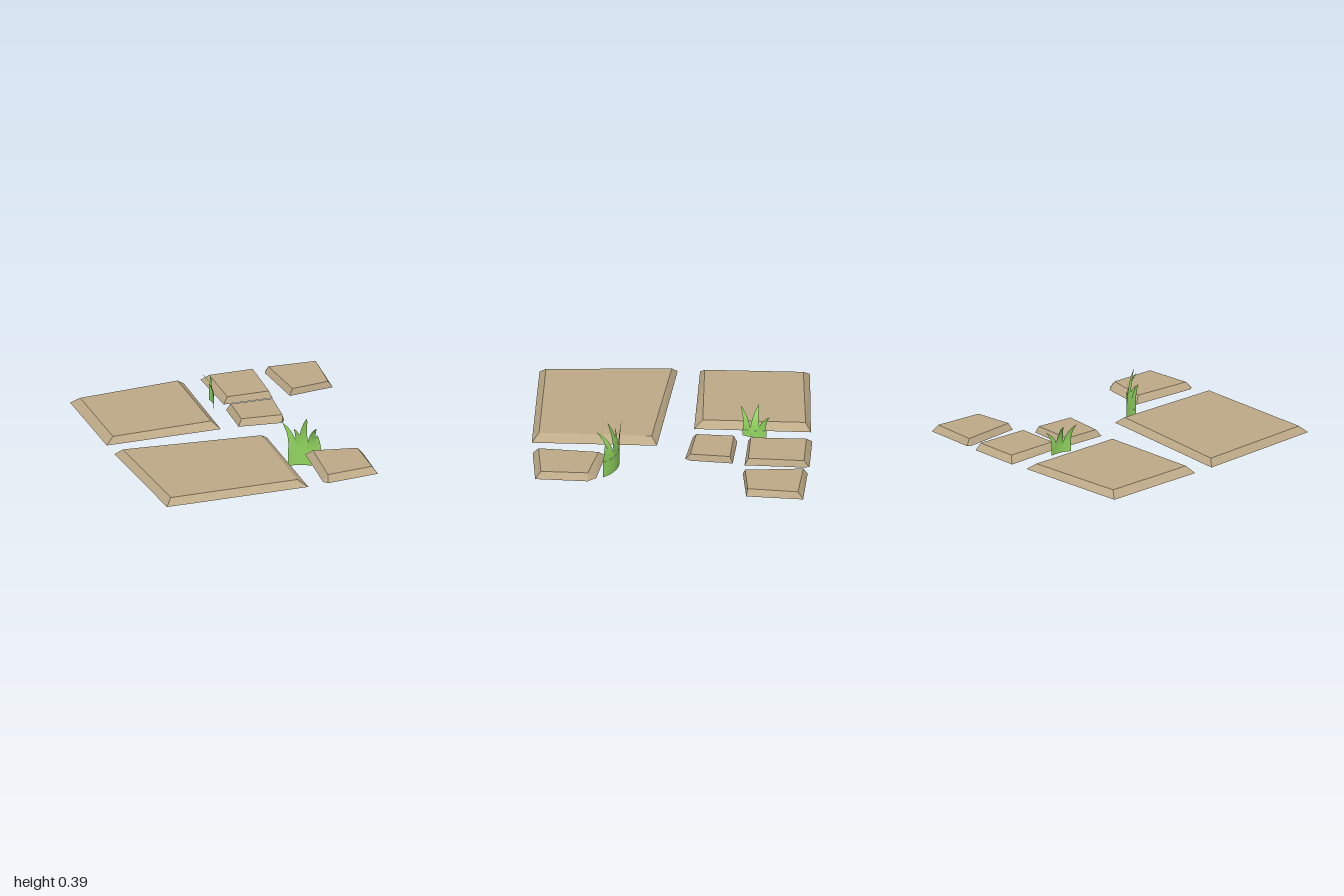
import * as THREE from 'three';
import { ConvexGeometry } from 'three/addons/geometries/ConvexGeometry.js';

const BOTTOM = 0.115, TOP = 0.162;

// Bevelled slab, open underneath: hull of a ground outline and a smaller top outline, both [x, z]
function slab(name, outer, inner, material) {
  const hull = new ConvexGeometry([
    ...outer.map(([x, z]) => new THREE.Vector3(x, BOTTOM, z)),
    ...inner.map(([x, z]) => new THREE.Vector3(x, TOP, z)),
  ]);
  // Keep every triangle except the ones lying on the ground outline
  const source = hull.getAttribute('position');
  const kept = [];
  for (let i = 0; i < source.count; i += 3) {
    const corners = [0, 1, 2].map((k) => new THREE.Vector3().fromBufferAttribute(source, i + k));
    if (corners.some((c) => c.y > BOTTOM + 0.01)) corners.forEach((c) => kept.push(...c.toArray()));
  }
  const geometry = new THREE.BufferGeometry();
  geometry.setAttribute('position', new THREE.Float32BufferAttribute(kept, 3));
  geometry.computeVertexNormals();
  const mesh = new THREE.Mesh(geometry, material);
  mesh.name = name;
  return mesh;
}

// Open strip through pairs of points (left, right), row by row
function strip(name, rows, material) {
  const positions = [], index = [];
  rows.forEach(([a, b], i) => {
    positions.push(...a.toArray(), ...b.toArray());
    if (i) {
      const k = 2 * i;
      index.push(k - 2, k - 1, k + 1, k - 2, k + 1, k);
    }
  });
  const geometry = new THREE.BufferGeometry();
  geometry.setAttribute('position', new THREE.Float32BufferAttribute(positions, 3));
  geometry.setIndex(index);
  geometry.computeVertexNormals();
  const mesh = new THREE.Mesh(geometry, material);
  mesh.name = name;
  return mesh;
}

// Grass tuft: a bowed sheet with blades curving up from its top edge
function tuft(name, start, end, bow, y0, y1, blades, material) {
  const group = new THREE.Group();
  group.name = name;
  const dir = end.clone().sub(start);
  const side = new THREE.Vector3(dir.z, 0, -dir.x).normalize();
  const along = (t, y) => new THREE.Vector3().lerpVectors(start, end, t)
    .addScaledVector(side, 4 * t * (1 - t) * bow).setY(y);

  const base = [];
  for (let i = 0; i <= 8; i++) base.push([along(i / 8, y1), along(i / 8, y0)]);
  group.add(strip('grassBase', base, material));

  for (const { from, to, tip } of blades) {
    const middle = (from + to) / 2;
    const root = along(middle, 0);
    const control = along(middle, y1 + (tip[1] - y1) * 0.6);
    const curve = new THREE.QuadraticBezierCurve3(along(middle, y1), control, new THREE.Vector3(...tip));
    const rows = [];
    for (let i = 0; i <= 6; i++) {
      const s = i / 6;
      const half = (to - from) / 2 * Math.pow(1 - s, 0.7);
      const offset = curve.getPoint(s).sub(root);
      rows.push([along(middle - half, 0).add(offset), along(middle + half, 0).add(offset)]);
    }
    group.add(strip('grassBlade', rows, material));
  }
  return group;
}

export function createModel() {
  const model = new THREE.Group();
  model.name = 'steppingStones';
  const stone = new THREE.MeshStandardMaterial({ color: 0xbdaa88, side: THREE.DoubleSide });
  stone.name = 'tan stone';
  const grass = new THREE.MeshStandardMaterial({ color: 0x92d65f, side: THREE.DoubleSide });
  grass.name = 'grass green';

  // Two large slabs
  model.add(slab('largeBackStone',
    [[-0.94, -0.945], [-0.065, -0.985], [-0.083, -0.15], [-0.945, -0.16]],
    [[-0.88, -0.9], [-0.125, -0.945], [-0.135, -0.21], [-0.885, -0.195]], stone));
  model.add(slab('largeFrontStone',
    [[-0.945, 0], [0.177, 0.105], [0.167, 1], [-0.9, 0.985]],
    [[-0.895, 0.04], [0.12, 0.145], [0.1, 0.95], [-0.855, 0.937]], stone));

  // Four small slabs with clipped corners
  model.add(slab('smallBackStone',
    [[0.07, -1], [0.455, -0.995], [0.465, -0.955], [0.447, -0.53], [0.08, -0.543]],
    [[0.12, -0.96], [0.448, -0.955], [0.428, -0.557], [0.115, -0.562]], stone));
  model.add(slab('smallCornerStone',
    [[0.54, -0.955], [0.555, -0.985], [0.943, -0.968], [0.913, -0.56], [0.575, -0.523]],
    [[0.567, -0.955], [0.917, -0.93], [0.883, -0.57], [0.6, -0.54]], stone));
  model.add(slab('smallMiddleStone',
    [[0.065, -0.45], [0.1, -0.465], [0.423, -0.445], [0.393, -0.14], [0.365, -0.103], [0.05, -0.145]],
    [[0.095, -0.44], [0.407, -0.425], [0.38, -0.14], [0.08, -0.172]], stone));
  model.add(slab('smallFrontStone',
    [[0.335, 0.465], [0.68, 0.52], [0.73, 0.58], [0.71, 0.955], [0.32, 0.987], [0.295, 0.952]],
    [[0.375, 0.515], [0.69, 0.58], [0.68, 0.915], [0.335, 0.945]], stone));

  // Tall tuft beside the front stones
  model.add(tuft('tallGrass', new THREE.Vector3(0.24, 0, 0.37), new THREE.Vector3(0.455, 0, 0.48), 0.028, 0, 0.12, [
    { from: 0, to: 0.27, tip: [0.2, 0.34, 0.355] },
    { from: 0.2, to: 0.46, tip: [0.272, 0.3, 0.4] },
    { from: 0.26, to: 0.58, tip: [0.353, 0.39, 0.455] },
    { from: 0.53, to: 0.82, tip: [0.397, 0.335, 0.53] },
    { from: 0.72, to: 1, tip: [0.427, 0.25, 0.465] },
  ], grass));

  // Short tuft between the back stones
  model.add(tuft('shortGrass', new THREE.Vector3(-0.013, 0, -0.5), new THREE.Vector3(0.013, 0, -0.67), -0.018, 0.11, 0.16, [
    { from: 0, to: 0.36, tip: [-0.058, 0.325, -0.485] },
    { from: 0.32, to: 0.72, tip: [-0.053, 0.338, -0.613] },
    { from: 0.64, to: 1, tip: [0.035, 0.285, -0.695] },
  ], grass));

  return model;
}
